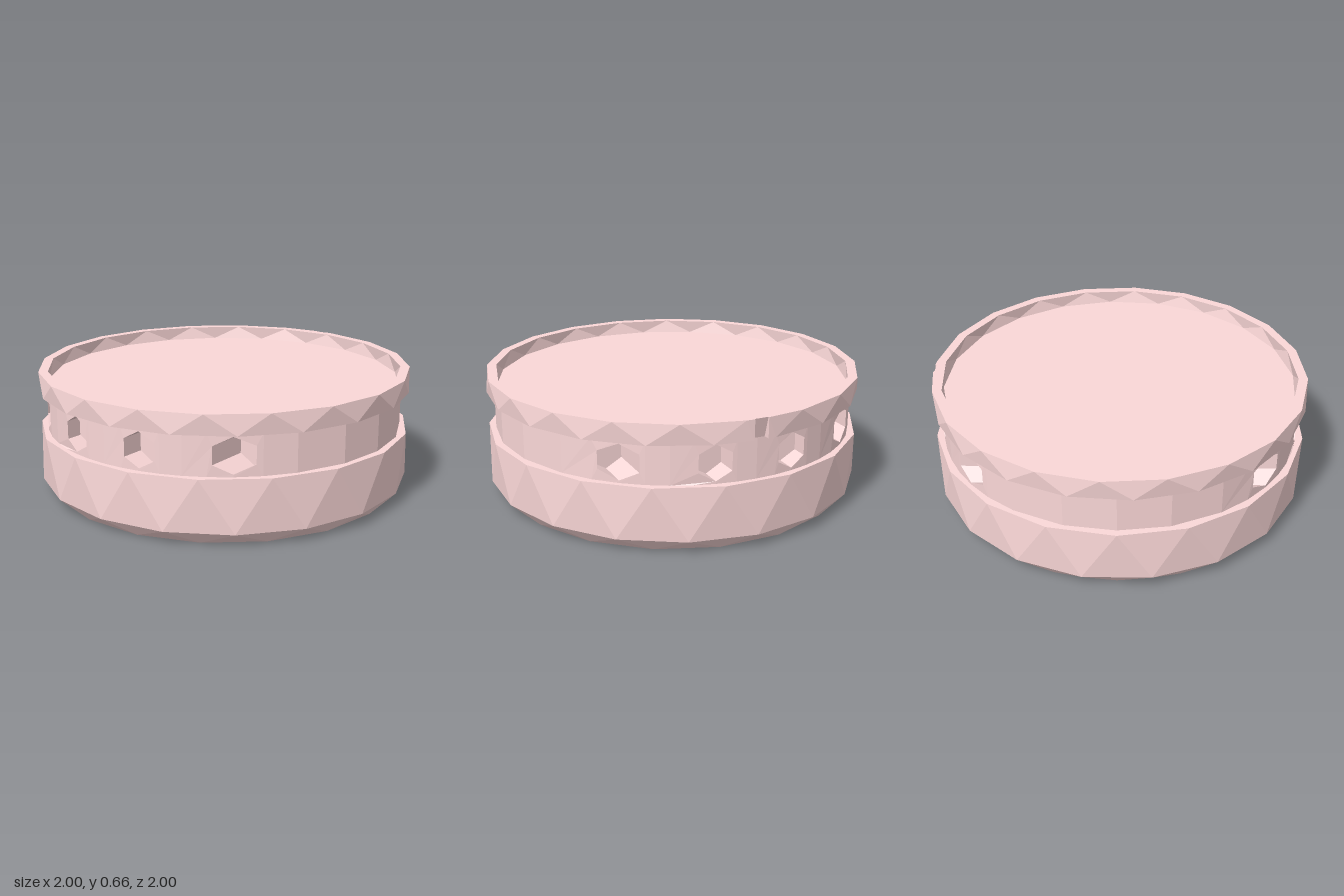
import * as THREE from 'three';

const D = Math.PI / 180;
const SIDES = 18;
const WALL_R = 0.96, LEDGE_Y = 0.345, RIM_Y = 0.555, TOP_Y = 0.66;
const HOLE_Y = 0.45, HOLE_R = 0.092;

// Horizontal ring of points; angles run from +z towards +x
function ring(n, r, y, shift = 0) {
  return Array.from({ length: n }, (_, i) => {
    const a = (i + shift) / n * Math.PI * 2;
    return new THREE.Vector3(r * Math.sin(a), y, r * Math.cos(a));
  });
}

// Skin between successive rings of equal count
function loft(rings) {
  const pos = [];
  const tri = (a, b, c) => {
    if (a.distanceTo(b) < 1e-6 || b.distanceTo(c) < 1e-6 || c.distanceTo(a) < 1e-6) return;
    for (const p of [a, b, c]) pos.push(p.x, p.y, p.z);
  };
  for (let k = 0; k + 1 < rings.length; k++) {
    const A = rings[k], B = rings[k + 1], n = A.length;
    for (let i = 0; i < n; i++) {
      const j = (i + 1) % n;
      tri(A[i], A[j], B[i]);
      tri(A[j], B[j], B[i]);
    }
  }
  const g = new THREE.BufferGeometry();
  g.setAttribute('position', new THREE.Float32BufferAttribute(pos, 3));
  g.computeVertexNormals();
  return g;
}

const flat = (pts) => pts.map((p) => new THREE.Vector2(p.x, p.z));

// Blind hole opening downwards at y = 0
const pocket = (n, mouthR, floorR, depth) =>
  loft([ring(n, 0, depth), ring(n, floorR, depth), ring(n, mouthR, 0)]);

// Distance of the band wall from the axis plane at sideways offset s
const wallDepth = (s) => Math.sqrt(WALL_R * WALL_R - s * s);

export function createModel() {
  const model = new THREE.Group();
  const mat = new THREE.MeshStandardMaterial({ color: 0xfbd8d8, flatShading: true, side: THREE.DoubleSide });
  const add = (name, geo, parent = model) => {
    const m = new THREE.Mesh(geo, mat);
    m.name = name;
    parent.add(m);
    return m;
  };

  // Lower body: chamfer, faceted wall and ledge
  add('lowerBody', loft([
    ring(SIDES, 0.93, 0),
    ring(SIDES, 1, 0.07, 0.5),
    ring(SIDES, 1, LEDGE_Y, 1),
    ring(SIDES, 0.92, LEDGE_Y, 1),
  ]));

  // Underside plate, pierced by a central recess and five small holes
  const plate = new THREE.Shape(flat(ring(SIDES, 0.93, 0)));
  plate.holes.push(new THREE.Path(flat(ring(12, 0.54, 0))));
  add('baseRecess', pocket(12, 0.54, 0.52, 0.065));
  const baseHoles = new THREE.Group();
  baseHoles.name = 'baseHoles';
  for (const deg of [45, 90, 135, 225, 315]) {
    const c = new THREE.Vector3(0.69 * Math.sin(deg * D), 0, 0.69 * Math.cos(deg * D));
    plate.holes.push(new THREE.Path(flat(ring(6, 0.09, 0).map((p) => p.add(c)))));
    add('baseHole', pocket(6, 0.09, 0.09, 0.12), baseHoles).position.copy(c);
  }
  model.add(baseHoles);
  add('basePlate', new THREE.ShapeGeometry(plate).rotateX(Math.PI / 2));

  // Recessed band: pierced panels left and right, plain panels front and back
  const band = new THREE.Group();
  band.name = 'recessedBand';
  model.add(band);
  const panel = (s0, s1, turn, pierced) => {
    const steps = (pierced ? [0, 0.25, 0.5, 0.75, 1] : [0, 1]).map((t) => s0 + (s1 - s0) * t);
    const lower = steps.map((s) => new THREE.Vector2(s, LEDGE_Y));
    const upper = steps.map((s) => new THREE.Vector2(s, RIM_Y)).reverse();
    const shape = new THREE.Shape([...lower, ...upper]);
    if (pierced) {
      // Bore running straight inwards, all four on a side parallel
      const mid = (s0 + s1) / 2;
      const mouth = flat(ring(6, HOLE_R, 0)).map((p) => p.add(new THREE.Vector2(mid, HOLE_Y)));
      shape.holes.push(new THREE.Path(mouth));
      const floorZ = wallDepth(Math.abs(mid) + HOLE_R) - 0.08;
      add('sideHole', loft([
        mouth.map(() => new THREE.Vector3(mid, HOLE_Y, floorZ)),
        mouth.map((p) => new THREE.Vector3(p.x, p.y, floorZ)),
        mouth.map((p) => new THREE.Vector3(p.x, p.y, wallDepth(p.x))),
      ]).rotateY(turn * D), band);
    }
    // Bend the flat panel round the axis
    const g = new THREE.ShapeGeometry(shape), p = g.attributes.position;
    for (let i = 0; i < p.count; i++) p.setZ(i, wallDepth(p.getX(i)));
    g.computeVertexNormals();
    add('bandPanel', g.rotateY(turn * D), band);
  };
  const sideEdges = [-0.815, -0.4075, 0, 0.4075, 0.815];
  const end = wallDepth(0.815);
  const frontEdges = [-end, -0.26, 0, 0.26, end];
  for (const turn of [0, 180]) {
    for (let i = 0; i < 4; i++) {
      panel(frontEdges[i], frontEdges[i + 1], turn, false);
      panel(sideEdges[i], sideEdges[i + 1], turn + 90, true);
    }
  }

  // Top rim with a narrow notch at +x that fades out towards the top
  const rimRing = (r, y, shift, notch) => {
    const pts = Array.from({ length: 20 }, (_, i) => [99 + 18 * i + shift, r]);
    pts.push([87.9, r], [87.9, r - notch], [92.1, r - notch], [92.1, r]);
    return pts.map(([a, q]) => new THREE.Vector3(q * Math.sin(a * D), y, q * Math.cos(a * D)));
  };
  const lip = ring(20, 0.95, TOP_Y, 5.75);
  add('topRim', loft([
    rimRing(0.92, RIM_Y, -4.5, 0),
    rimRing(1, RIM_Y, -4.5, 0.035),
    rimRing(1, TOP_Y, 4.5, 0.006),
    [...lip, ...Array(4).fill(lip[19])],
  ]));

  // Shallow tray inside the rim
  add('tray', loft([lip, ring(20, 0.945, 0.59, 6.25), ring(20, 0, 0.59)]));

  return model;
}
